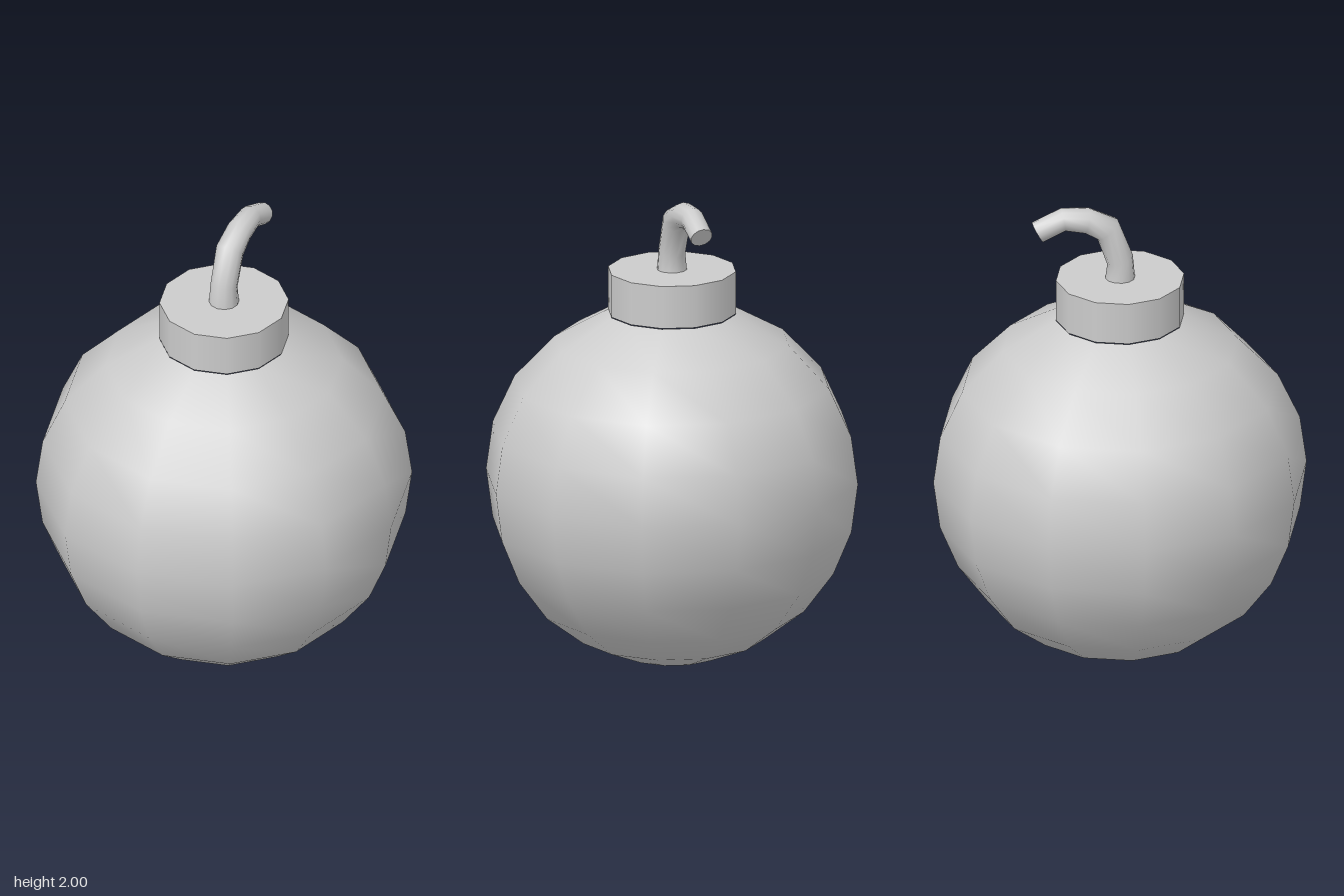
import * as THREE from 'three';
import { mergeVertices } from 'three/addons/utils/BufferGeometryUtils.js';

const SIDES = 12;

// Curved, tapering fuse: each ring is spanned by its outer and inner point [z, y]
function fuseGeometry() {
  const rings = [
    [[0.063, 1.66], [-0.063, 1.66]],
    [[0.053, 1.772], [-0.053, 1.735]],
    [[-0.01, 1.937], [-0.095, 1.855]],
    [[-0.127, 1.993], [-0.148, 1.886]],
    [[-0.243, 1.998], [-0.228, 1.902]],
    [[-0.365, 1.94], [-0.32, 1.858]],
  ];
  const last = rings.length - 1;
  let geo = new THREE.CylinderGeometry(1, 1, 1, SIDES, last);
  geo.deleteAttribute('uv');
  geo = mergeVertices(geo); // closes the seam, keeps the cap edges sharp
  const pos = geo.attributes.position;
  for (let i = 0; i < pos.count; i++) {
    const [outer, inner] = rings[Math.round((pos.getY(i) + 0.5) * last)];
    const radius = Math.hypot(outer[0] - inner[0], outer[1] - inner[1]) / 2;
    const t = (1 - pos.getZ(i)) / 2;
    pos.setXYZ(i,
      pos.getX(i) * radius,
      THREE.MathUtils.lerp(outer[1], inner[1], t),
      THREE.MathUtils.lerp(outer[0], inner[0], t));
  }
  geo.computeVertexNormals();
  return geo;
}

export function createModel() {
  const model = new THREE.Group();
  model.name = 'bomb';
  const material = new THREE.MeshStandardMaterial({ color: 0xcccccc });
  const add = (name, geometry) => {
    const mesh = new THREE.Mesh(geometry, material);
    mesh.name = name;
    model.add(mesh);
    return mesh;
  };

  // Round body, drawn up towards the collar
  const profile = [
    [0, 0], [0.2, 0.03], [0.39, 0.108], [0.55, 0.23], [0.673, 0.397], [0.748, 0.58],
    [0.775, 0.785], [0.747, 0.988], [0.656, 1.187], [0.487, 1.366], [0.265, 1.49],
  ].map(([r, y]) => new THREE.Vector2(r, y));
  add('body', new THREE.LatheGeometry(profile, SIDES));

  // Collar on top of the body
  add('collar', new THREE.CylinderGeometry(0.266, 0.266, 0.18, SIDES)).position.y = 1.583;

  // Fuse bending towards the back
  add('fuse', fuseGeometry());

  return model;
}
